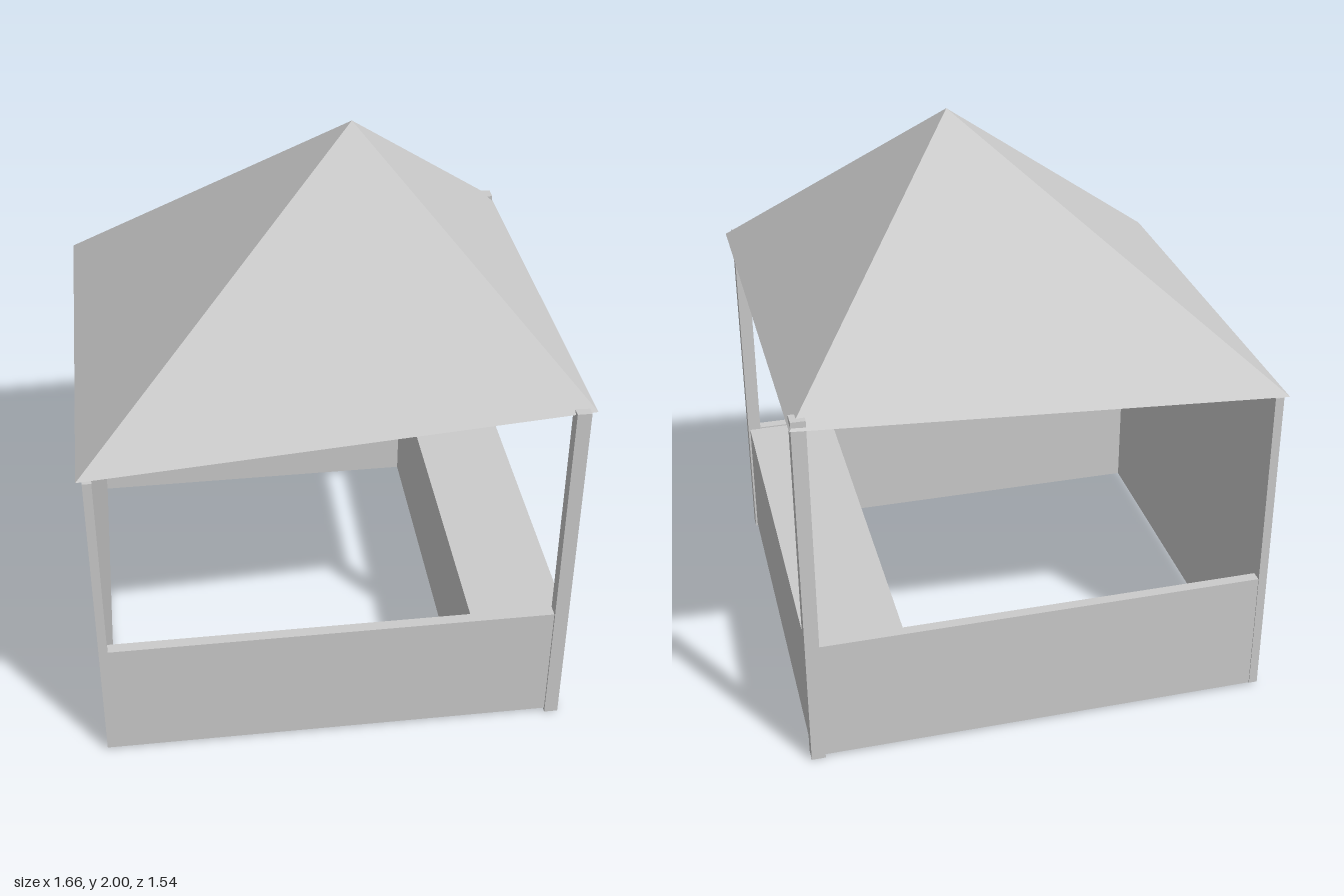
import * as THREE from 'three';

const material = new THREE.MeshStandardMaterial({ color: 0xcccccc, flatShading: true });

// Box given by its limits on each axis
function box(name, [x0, x1], [y0, y1], [z0, z1]) {
  const geometry = new THREE.BoxGeometry(x1 - x0, y1 - y0, z1 - z0);
  geometry.translate((x0 + x1) / 2, (y0 + y1) / 2, (z0 + z1) / 2);
  const mesh = new THREE.Mesh(geometry, material);
  mesh.name = name;
  return mesh;
}

// Skewed pyramid with an off-centre apex, closed by a sloping ceiling
function createRoof() {
  const apex = [0.14, 2, -0.015];
  const corners = [
    [-0.83, 1.18, 0.75],
    [0.83, 1.307, 0.75],
    [0.81, 1.288, -0.768],
    [-0.83, 1.18, -0.76],
  ];
  const points = [];
  corners.forEach((corner, i) => points.push(...corner, ...corners[(i + 1) % 4], ...apex));
  for (const i of [0, 2, 1, 0, 3, 2]) points.push(...corners[i]);
  const geometry = new THREE.BufferGeometry();
  geometry.setAttribute('position', new THREE.Float32BufferAttribute(points, 3));
  geometry.computeVertexNormals();
  const roof = new THREE.Mesh(geometry, material);
  roof.name = 'roof';
  return roof;
}

export function createModel() {
  const group = new THREE.Group();
  group.name = 'kiosk';
  const low = [0.012, 0.463];

  // Walls: one full-height side and two low sides
  group.add(
    box('fullWall', [-0.81, -0.78], [0.012, 1.18], [-0.76, 0.76]),
    box('frontWall', [-0.78, 0.8], low, [0.722, 0.76]),
    box('backWall', [-0.78, 0.8], low, [-0.757, -0.72]),
  );

  // Deep serving counter on the remaining side
  group.add(box('counter', [0.47, 0.798], [0.012, 0.458], [-0.72, 0.722]));

  // Corner posts whose tops just pierce the roof
  group.add(
    box('frontPost', [0.757, 0.805], [0, 1.315], [0.72, 0.768]),
    box('backPost', [0.757, 0.805], [0, 1.315], [-0.76, -0.71]),
  );

  group.add(createRoof());
  return group;
}
